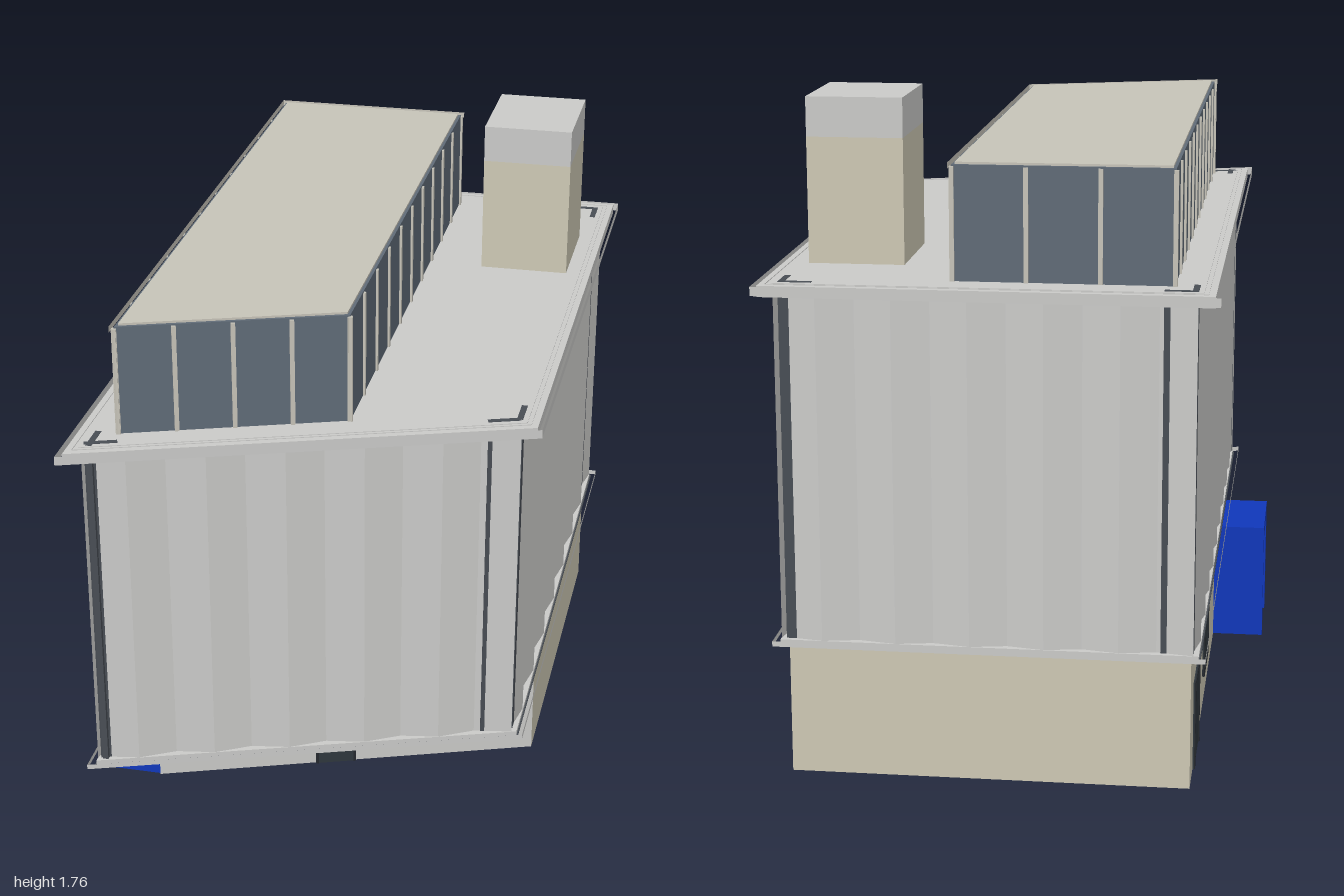
import * as THREE from 'three';

const mat = (name, color, side = THREE.FrontSide) => {
  const m = new THREE.MeshStandardMaterial({ color, side });
  m.name = name;
  return m;
};

export function createModel() {
  const grey = mat('light grey', 0xcacac8, THREE.DoubleSide);
  const beige = mat('beige', 0xcdc8b4, THREE.DoubleSide);
  const glass = mat('blue grey glass', 0x606b77);
  const mullion = mat('pale frame', 0xc6c3b8);
  const steel = mat('dark steel', 0x484d54);
  const pane = mat('dark pane', 0x2f373d);
  const frame = mat('black frame', 0x24282d);
  const blue = mat('blue', 0x1037ba);

  const model = new THREE.Group();
  model.name = 'building';

  const add = (parent, name, geo, material, x = 0, y = 0, z = 0) => {
    const m = new THREE.Mesh(geo, material);
    m.name = name;
    m.position.set(x, y, z);
    parent.add(m);
    return m;
  };
  // box given by its min and max corners
  const box = (parent, name, material, x0, x1, y0, y1, z0, z1) =>
    add(parent, name, new THREE.BoxGeometry(x1 - x0, y1 - y0, z1 - z0), material,
      (x0 + x1) / 2, (y0 + y1) / 2, (z0 + z1) / 2);

  // plans are [x, z] corners: front left, front right, back right, back left
  const plan = (x0, x1, zBack, zLeft, zRight) => [[x0, zLeft], [x1, zRight], [x1, zBack], [x0, zBack]];

  // move every side of a plan inwards by d
  const inset = (pts, d) => pts.map((p, i) => {
    const a = pts[(i + 3) % 4], b = pts[(i + 1) % 4];
    const dir = (s, e) => {
      const l = Math.hypot(e[0] - s[0], e[1] - s[1]);
      return [(e[0] - s[0]) / l, (e[1] - s[1]) / l];
    };
    const u = dir(a, p), v = dir(p, b);
    const k = d / (u[0] * v[1] - u[1] * v[0]);
    return [p[0] + (v[0] - u[0]) * k, p[1] + (v[1] - u[1]) * k];
  });

  // upright prism over a plan, optionally hollow
  const prism = (name, material, pts, y0, y1, hole) => {
    const v = (list) => list.map(([x, z]) => new THREE.Vector2(x, -z));
    const s = new THREE.Shape(v(pts));
    if (hole) s.holes.push(new THREE.Path(v(hole)));
    const g = new THREE.ExtrudeGeometry(s, { depth: y1 - y0, bevelEnabled: false });
    g.rotateX(-Math.PI / 2);
    return add(model, name, g, material, 0, y0, 0);
  };

  // one group per side: local x runs along the side, local z points outwards
  const eachSide = (pts, name, build) => pts.forEach((a, i) => {
    const b = pts[(i + 1) % 4];
    const dx = b[0] - a[0], dz = b[1] - a[1];
    const g = new THREE.Group();
    g.name = ['front', 'right', 'back', 'left'][i] + name;
    g.position.set(a[0], 0, a[1]);
    g.rotation.y = Math.atan2(-dz, dx);
    build(g, Math.hypot(dx, dz), i);
    model.add(g);
  });

  // framed opening seen from both sides of a wall
  const opening = (g, name, x0, x1, y0, y1, bays) => {
    box(g, name + 'Pane', pane, x0, x1, y0, y1, -0.004, 0.004);
    const t = 0.004;
    for (let i = 0; i <= bays; i++) {
      const x = x0 + t + (x1 - x0 - 2 * t) * i / bays;
      box(g, name + 'Jamb', frame, x - t, x + t, y0, y1, -0.007, 0.007);
    }
    box(g, name + 'Head', frame, x0, x1, y1 - 2 * t, y1, -0.007, 0.007);
    if (y0 > 0) box(g, name + 'Sill', frame, x0, x1, y0, y0 + 2 * t, -0.007, 0.007);
  };

  // ground floor shell with doors and windows
  const base = plan(-0.465, 0.59, -0.98, 0.5, 0.12);
  eachSide(base, 'GroundWall', (g, len, i) => {
    add(g, 'groundWall', new THREE.PlaneGeometry(len, 0.36), i === 0 ? grey : beige, len / 2, 0.18, 0);
    if (i === 0) {
      opening(g, 'frontWindow', 0.12, 0.367, 0.095, 0.265, 2);
      opening(g, 'frontDoor', 0.466, 0.586, 0, 0.245, 1);
    }
    if (i === 3) {
      opening(g, 'sideDoor', 0.13, 0.33, 0, 0.245, 1);
      opening(g, 'sideWindow', 0.565, 0.775, 0.095, 0.265, 1);
    }
  });

  // blue entrance portal
  const porch = new THREE.Group();
  porch.name = 'entrancePortal';
  model.add(porch);
  box(porch, 'portalRoof', blue, -0.615, -0.465, 0.305, 0.345, 0.21, 0.495);
  box(porch, 'portalLegBack', blue, -0.615, -0.465, 0, 0.305, 0.21, 0.245);
  box(porch, 'portalLegFront', blue, -0.615, -0.465, 0, 0.305, 0.46, 0.495);

  // upper block: soffit, roof, rails
  const body = plan(-0.485, 0.61, -1, 1, 0.615);
  prism('soffit', steel, inset(body, 0.004), 0.357, 0.362);
  prism('roof', grey, inset(body, 0.03), 1.295, 1.306);
  prism('bottomRail', grey, body, 0.36, 0.374, inset(body, 0.018));
  prism('topRail', grey, body, 1.312, 1.326, inset(body, 0.012));
  prism('parapet', grey, inset(body, 0.03), 1.3, 1.324, inset(body, 0.044));

  // folded cladding and corner posts
  eachSide(body, 'Cladding', (g, len) => {
    const gap = 0.014, w = len - 2 * gap, h = 0.952;
    const n = 2 * Math.round((w / 0.1015 - 1) / 2) + 1;
    let geo = new THREE.PlaneGeometry(w, h, n, 1);
    const p = geo.attributes.position;
    for (let i = 0; i < p.count; i++) p.setZ(i, (i % (n + 1)) % 2 ? 0.009 : -0.009);
    geo = geo.toNonIndexed();
    geo.computeVertexNormals();
    add(g, 'foldedSheet', geo, grey, len / 2, 0.84, -0.01);
    box(g, 'cornerPostStart', steel, 0.014, 0.1, 0.362, 1.327, -0.03, -0.014);
    box(g, 'cornerPostEnd', steel, len - 0.1, len - 0.014, 0.362, 1.327, -0.03, -0.014);
  });

  // glazed penthouse
  const house = plan(-0.4, 0.15, -0.915, 0.89, 0.695);
  const glassPlan = inset(house, 0.008);
  prism('penthouseGlass', glass, glassPlan, 1.306, 1.624);
  prism('penthouseTopFrame', mullion, house, 1.614, 1.63, inset(house, 0.017));
  prism('penthouseBottomFrame', mullion, house, 1.306, 1.322, inset(house, 0.017));
  eachSide(glassPlan, 'Mullions', (g, len) => {
    const bays = Math.round(len / 0.162);
    for (let i = 0; i <= bays; i++) {
      const x = len * i / bays;
      box(g, 'mullion', mullion, x - 0.006, x + 0.006, 1.306, 1.62, -0.006, 0.006);
    }
  });

  // roof tower
  box(model, 'towerShaft', beige, 0.315, 0.57, 1.3, 1.66, -0.73, -0.42);
  box(model, 'towerCap', grey, 0.315, 0.57, 1.66, 1.765, -0.73, -0.42);

  return model;
}
